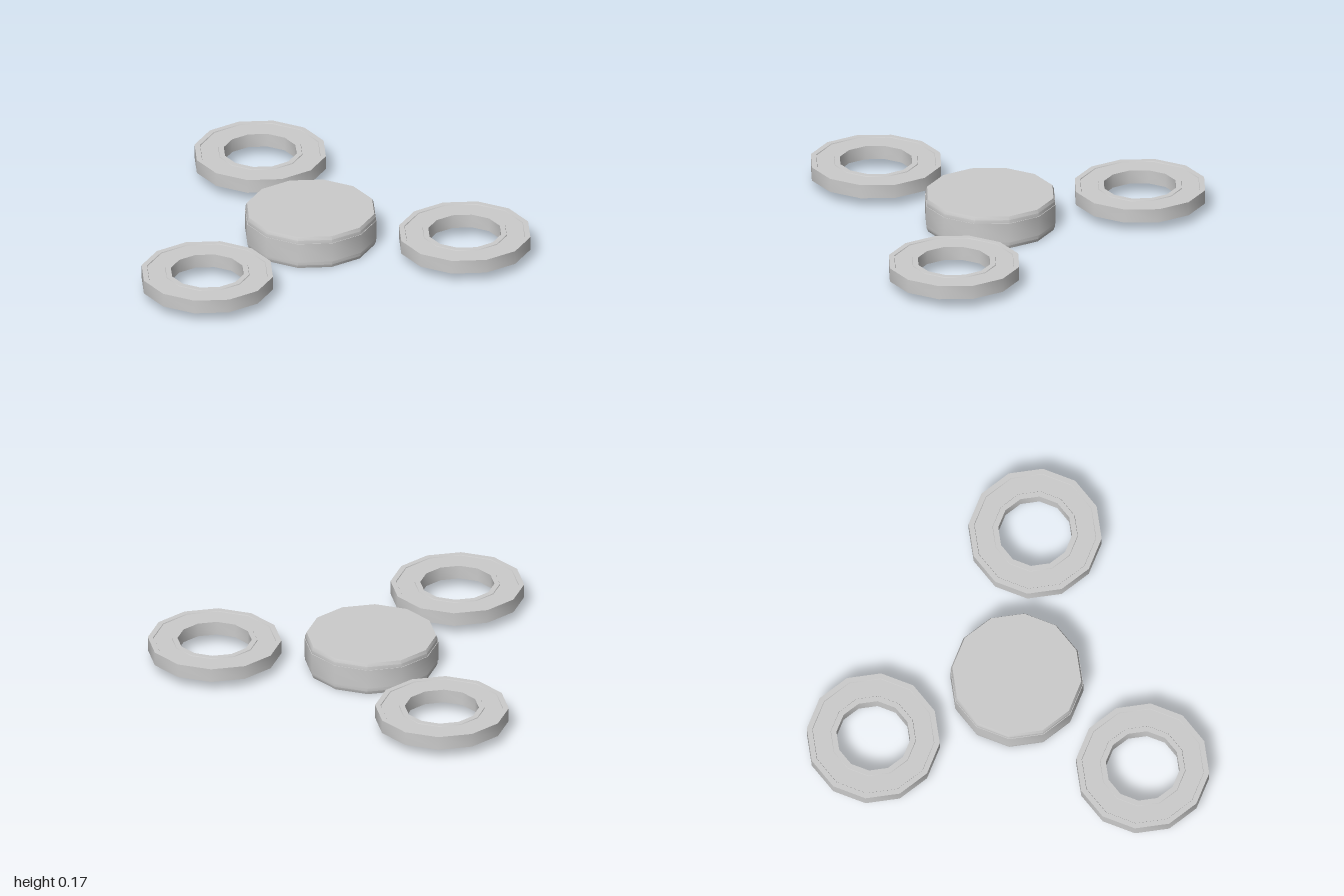
import * as THREE from 'three';
import { toCreasedNormals } from 'three/addons/utils/BufferGeometryUtils.js';

const SIDES = 12;
const material = new THREE.MeshStandardMaterial({ color: 0xcccccc });

// Twelve-sided turned part: smooth around, sharp at the rims
function turned(name, profile) {
  const points = profile.map(([r, y]) => new THREE.Vector2(r, y));
  const geometry = toCreasedNormals(new THREE.LatheGeometry(points, SIDES), 0.6);
  const mesh = new THREE.Mesh(geometry, material);
  mesh.name = name;
  return mesh;
}

// Ring weight with a shallow recessed shield between two raised rims
function createRing(name, x, z) {
  const h = 0.035, d = 0.031;
  const ring = turned(name, [
    [0.33, -h], [0.33, h], [0.303, h], [0.301, d], [0.212, d], [0.21, h],
    [0.183, h], [0.183, -h], [0.21, -h], [0.212, -d], [0.301, -d], [0.303, -h], [0.33, -h],
  ]);
  ring.position.set(x, 0.085, z);
  return ring;
}

// Centre hub: a band between two slightly tapered caps
function createHub() {
  const hub = new THREE.Group();
  hub.name = 'hub';
  hub.add(turned('hubBand', [[0, -0.05], [0.33, -0.05], [0.33, 0.05], [0, 0.05]]));
  for (const [name, flip] of [['topCap', 0], ['bottomCap', Math.PI]]) {
    const cap = turned(name, [[0, 0.048], [0.327, 0.048], [0.327, 0.068], [0.32, 0.085], [0, 0.085]]);
    cap.rotation.x = flip;
    hub.add(cap);
  }
  hub.position.set(0, 0.085, 0.19);
  return hub;
}

export function createModel() {
  const model = new THREE.Group();
  model.name = 'spinnerBearings';
  model.add(
    createHub(),
    createRing('backRing', 0, -0.58),
    createRing('leftRing', 0.67, 0.577),
    createRing('rightRing', -0.67, 0.577),
  );
  return model;
}
